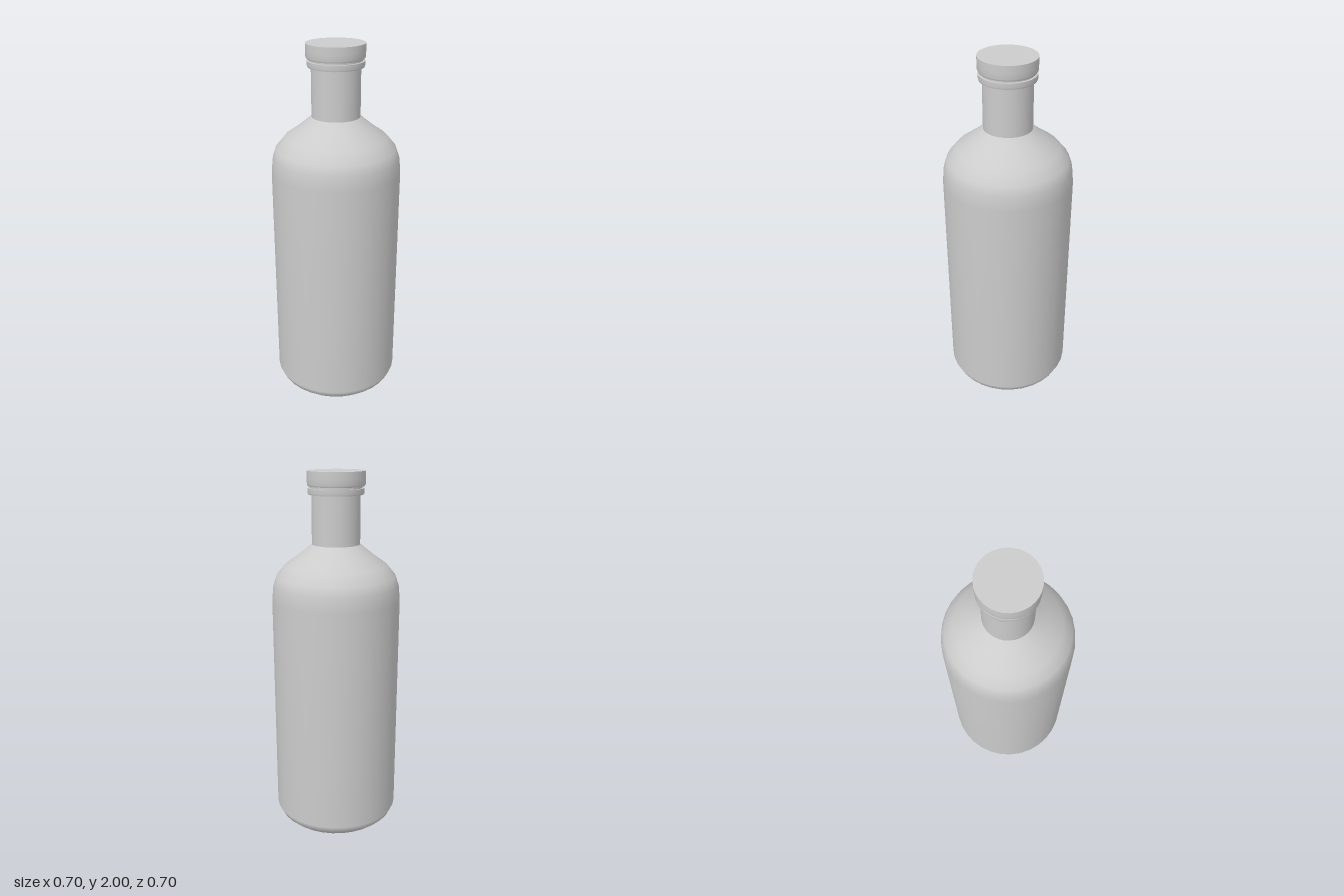
import * as THREE from 'three';

const SEGMENTS = 32;

export function createModel() {
  const group = new THREE.Group();
  group.name = 'bottle';
  const material = new THREE.MeshStandardMaterial({ color: 0xcccccc });

  // Revolve a [radius, height] profile, listed from bottom to top
  const lathe = (name, profile) => {
    const points = profile.map(([r, y]) => new THREE.Vector2(r, y));
    const mesh = new THREE.Mesh(new THREE.LatheGeometry(points, SEGMENTS), material);
    mesh.name = name;
    group.add(mesh);
    return mesh;
  };

  // Flat base, kept separate so its rim stays crisp
  lathe('base', [[0, 0], [0.273, 0]]);

  // Rounded heel, straight wall and curved shoulder
  lathe('body', [
    [0.273, 0], [0.298, 0.014], [0.33, 0.042], [0.35, 0.083],
    [0.35, 1.32], [0.342, 1.40], [0.325, 1.45],
    [0.275, 1.51], [0.204, 1.56], [0.13, 1.62],
  ]);

  // Neck
  lathe('neck', [[0.13, 1.62], [0.13, 1.885]]);

  // Lip ring: underside, wall and top
  lathe('lipUnderside', [[0.13, 1.88], [0.147, 1.88]]);
  lathe('lipWall', [[0.147, 1.88], [0.15, 1.89], [0.15, 1.912]]);
  lathe('lipTop', [[0.15, 1.912], [0.138, 1.912]]);

  // Stopper shank visible in the gap below the cap
  lathe('stopperShank', [[0.138, 1.905], [0.138, 1.93]]);

  // Cap with a slightly tapered lower edge and flat top
  const cap = [
    lathe('capUnderside', [[0.13, 1.922], [0.15, 1.922]]),
    lathe('capWall', [[0.15, 1.922], [0.155, 1.932], [0.156, 1.965], [0.156, 2]]),
    lathe('capTop', [[0.156, 2], [0, 2]]),
  ];
  cap.forEach((part) => {
    part.position.x = -0.002;
    part.scale.z = 0.98;
  });

  return group;
}
